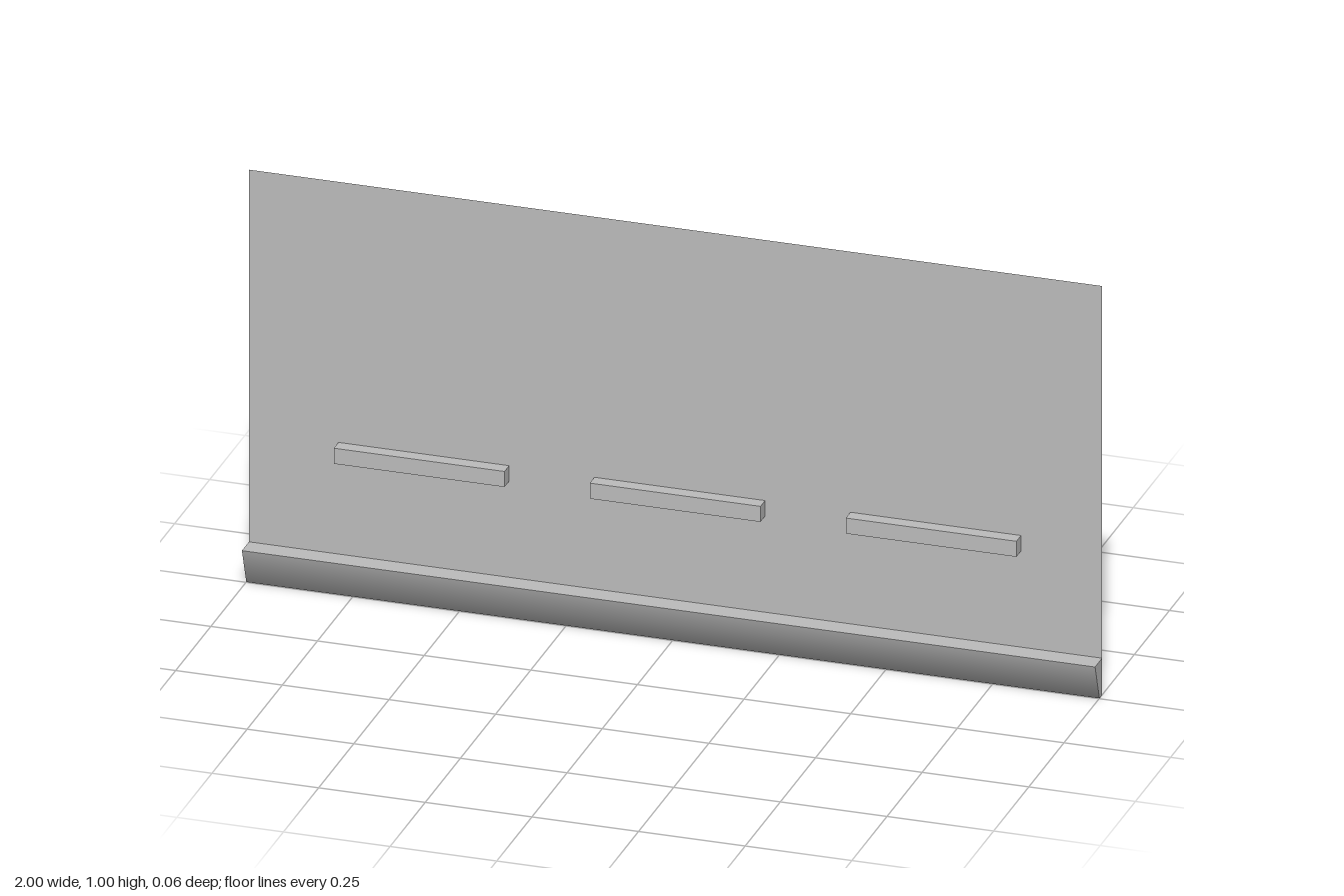
import * as THREE from 'three';
import { toCreasedNormals } from 'three/addons/utils/BufferGeometryUtils.js';

const BACK = -0.021;

export function createModel() {
  const model = new THREE.Group();
  model.name = 'slottedPanel';

  const grey = new THREE.MeshStandardMaterial({ color: 0xbcbcbc, side: THREE.DoubleSide });
  grey.name = 'plain grey';

  const add = (name, geometry, x, y, z) => {
    const mesh = new THREE.Mesh(geometry, grey);
    mesh.name = name;
    mesh.position.set(x, y, z);
    model.add(mesh);
  };

  // Thin upright sheet standing on the back edge of the rail
  add('panel', new THREE.PlaneGeometry(2, 0.91), 0, 0.545, BACK);

  // Bottom rail: wedge profile (z, y) swept along x, slope blending into the underside
  const profile = new THREE.Shape([
    new THREE.Vector2(BACK, 0),
    new THREE.Vector2(-0.002, 0),
    new THREE.Vector2(0.029, 0.09),
    new THREE.Vector2(BACK, 0.09),
  ]);
  const rail = new THREE.ExtrudeGeometry(profile, { depth: 2, bevelEnabled: false });
  rail.rotateY(-Math.PI / 2);
  add('bottomRail', toCreasedNormals(rail, 1.3), 1, 0, 0);

  // Row of three bars set through the panel
  const bar = new THREE.BoxGeometry(0.4, 0.038, 0.04);
  [-0.59, 0.01, 0.61].forEach((x, i) => add(`bar${i + 1}`, bar, x, 0.344, -0.008));

  return model;
}
